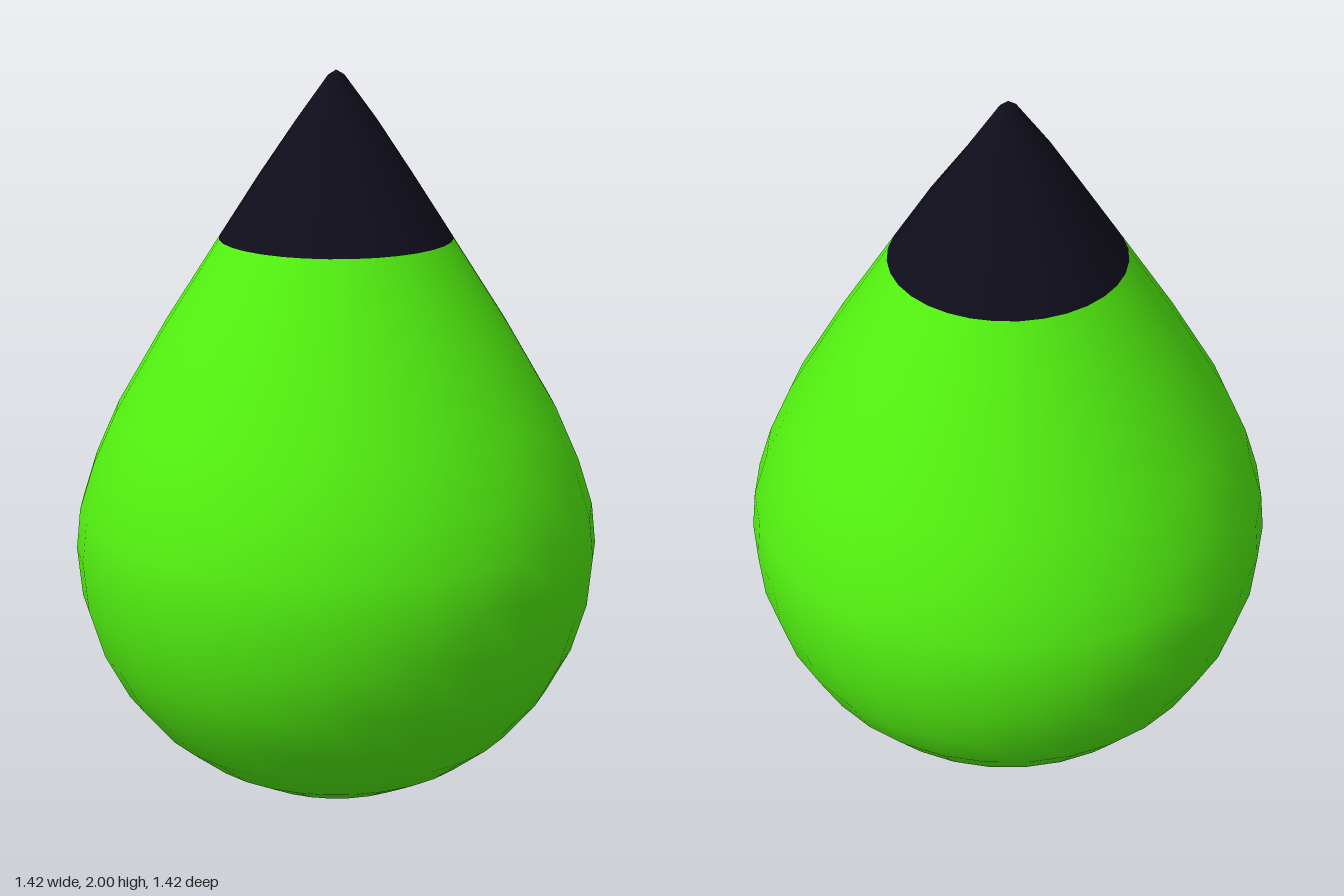
import * as THREE from 'three';
import { mergeVertices } from 'three/addons/utils/BufferGeometryUtils.js';

const SIDES = 32;

// Revolve rings of [radius, height, optional depth factor] into a smooth seamless surface
function revolve(name, rings, color) {
  const geo = new THREE.LatheGeometry(rings.map(([r, y]) => new THREE.Vector2(r, y)), SIDES);
  const pos = geo.attributes.position;
  for (let i = 0; i < pos.count; i++) {
    const depth = rings[i % rings.length][2] ?? 1;
    pos.setZ(i, pos.getZ(i) * depth);
  }
  geo.deleteAttribute('uv');
  geo.deleteAttribute('normal');
  const smooth = mergeVertices(geo, 1e-5);
  smooth.computeVertexNormals();
  const mesh = new THREE.Mesh(smooth, new THREE.MeshStandardMaterial({ color }));
  mesh.name = name;
  return mesh;
}

export function createModel() {
  const group = new THREE.Group();
  group.name = 'teardrop';

  // Round bottom rising into straight shoulders
  group.add(revolve('body', [
    [0, 0], [0.14, 0.02], [0.275, 0.06], [0.4, 0.13], [0.505, 0.215],
    [0.595, 0.325], [0.66, 0.45], [0.7, 0.585], [0.712, 0.72], [0.7, 0.83],
    [0.66, 0.955], [0.595, 1.1], [0.46, 1.33], [0.312, 1.56],
  ], 0x52f010));

  // Dark pointed cap, pinched front to back near the tip
  group.add(revolve('tip', [
    [0.312, 1.56], [0.205, 1.725], [0.11, 1.87, 0.72], [0.022, 1.987, 0.7], [0, 2],
  ], 0x0f0d1a));

  return group;
}
